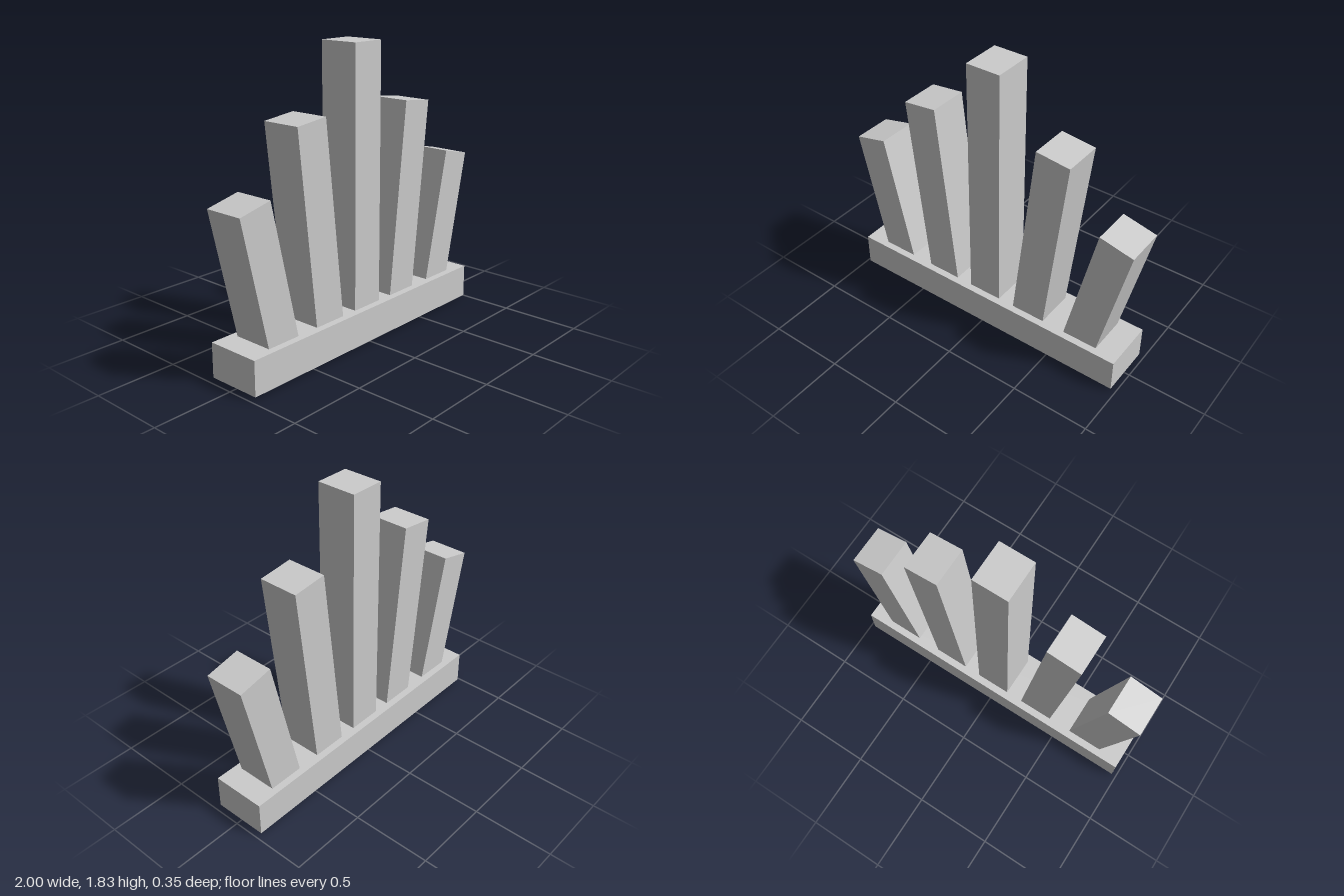
import * as THREE from 'three';

export function createModel() {
  const model = new THREE.Group();
  const material = new THREE.MeshStandardMaterial({ color: 0xcccccc, flatShading: true });
  const barWidth = 0.222, barDepth = 0.256;

  // Long plinth holding the bars
  const base = new THREE.Mesh(new THREE.BoxGeometry(1.94, 0.214, 0.346), material);
  base.name = 'base';
  base.position.y = 0.123;
  model.add(base);

  // Square bar hung from the middle of its top face and leaning outwards
  function addBar(name, x, y, length, lean) {
    const geometry = new THREE.BoxGeometry(barWidth, length, barDepth);
    geometry.translate(0, -length / 2, 0);
    const bar = new THREE.Mesh(geometry, material);
    bar.name = name;
    bar.position.set(x, y, 0);
    bar.rotation.z = -lean;
    model.add(bar);
  }

  addBar('centreBar', 0, 1.828, 1.81, 0);

  // Mirrored pairs fan out and get shorter
  for (const [side, label] of [[1, 'left'], [-1, 'right']]) {
    addBar(label + 'InnerBar', side * 0.464, 1.434, 1.415, side * 0.11);
    addBar(label + 'OuterBar', side * 0.89, 1.039, 1.04, side * 0.222);
  }
  return model;
}
